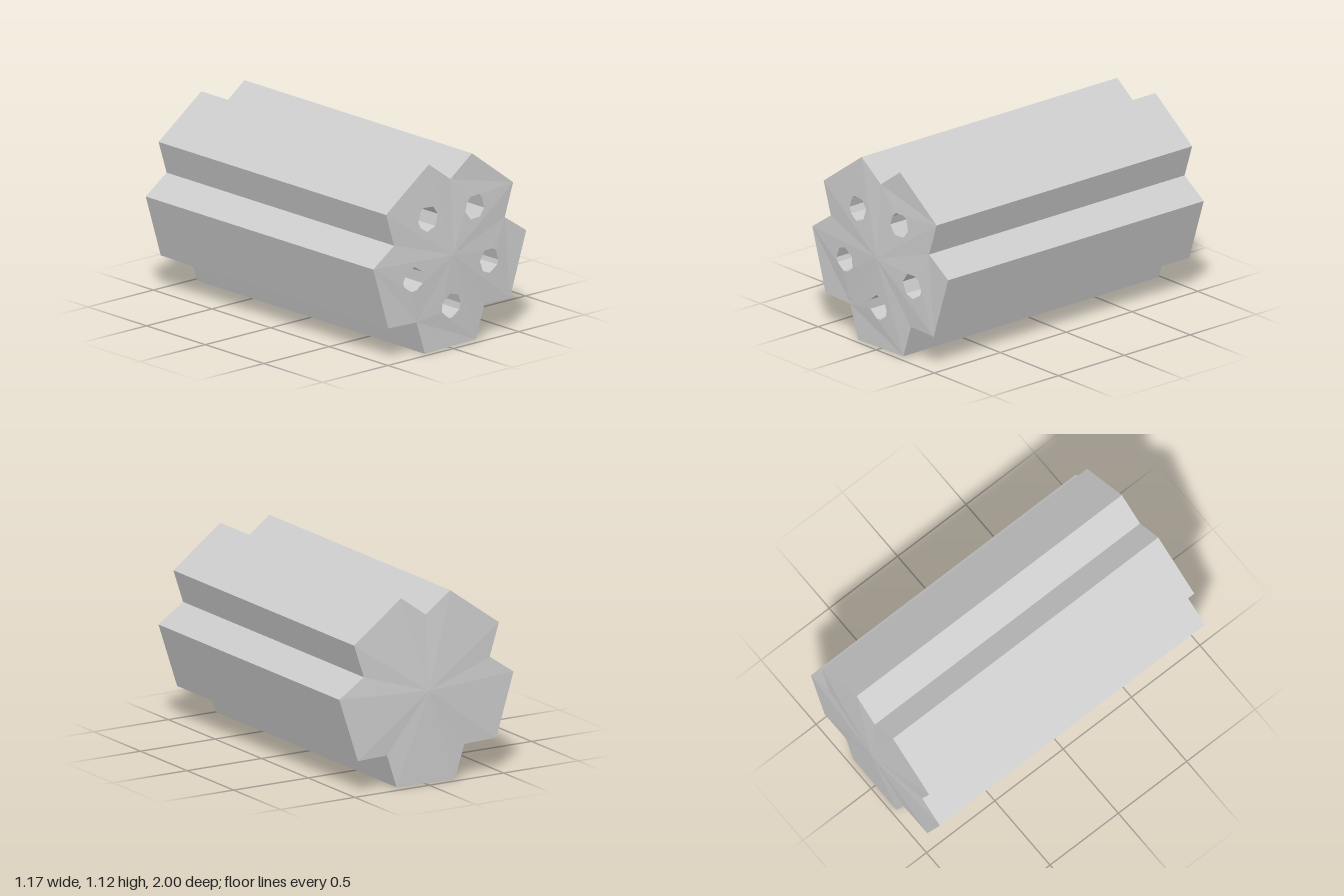
import * as THREE from 'three';

const V = (x, y) => new THREE.Vector2(x, y);
const CENTRE = V(0, 0.557);
const STEP = (Math.PI * 2) / 5;
const EDGE_Z = 0.97, TIP_Z = 1, HOLE_FLOOR_Z = -0.2;

// Fluted outline, counter-clockwise: notch, tip, tip for each of five lobes
const outline = [
  [0.005, 1.0], [-0.16, 1.12], [-0.487, 0.885],
  [-0.425, 0.69], [-0.585, 0.58], [-0.47, 0.207],
  [-0.255, 0.2], [-0.19, 0], [0.2, 0.01],
  [0.265, 0.207], [0.46, 0.2], [0.585, 0.58],
  [0.42, 0.69], [0.485, 0.885], [0.17, 1.12],
].map(([x, y]) => V(x, y));

// Slightly uneven bore outline, clockwise, placed in the bottom lobe
const bore = [
  [-0.013, 0.327], [0.052, 0.308], [0.07, 0.255], [0.063, 0.217],
  [0.012, 0.18], [-0.017, 0.179], [-0.071, 0.225], [-0.069, 0.282],
].map(([x, y]) => V(x, y));

const material = new THREE.MeshStandardMaterial({ color: 0xcccccc, flatShading: true });

function addMesh(group, name, geometry) {
  const mesh = new THREE.Mesh(geometry, material);
  mesh.name = name;
  group.add(mesh);
}

function fromTriangles(positions) {
  const g = new THREE.BufferGeometry();
  g.setAttribute('position', new THREE.Float32BufferAttribute(positions, 3));
  g.computeVertexNormals();
  return g;
}

// Band of quads along a closed loop; clockwise loops face inward
function wall(loop, z0, topZ) {
  const pos = [];
  loop.forEach((a, i) => {
    const b = loop[(i + 1) % loop.length];
    const za = topZ(a), zb = topZ(b);
    pos.push(a.x, a.y, z0, b.x, b.y, z0, b.x, b.y, zb);
    pos.push(a.x, a.y, z0, b.x, b.y, zb, a.x, a.y, za);
  });
  return fromTriangles(pos);
}

// Shallow pyramid closing the rear
function rearCap() {
  const pos = [];
  outline.forEach((a, i) => {
    const b = outline[(i + 1) % outline.length];
    pos.push(CENTRE.x, CENTRE.y, -TIP_Z, b.x, b.y, -EDGE_Z, a.x, a.y, -EDGE_Z);
  });
  return fromTriangles(pos);
}

export function createModel() {
  const group = new THREE.Group();
  group.name = 'flutedCylinder';
  addMesh(group, 'flutedWall', wall(outline, -EDGE_Z, () => EDGE_Z));
  addMesh(group, 'rearCap', rearCap());

  for (let k = 0; k < 5; k++) {
    const angle = Math.PI * 0.7 + k * STEP;
    const axis = V(Math.cos(angle), Math.sin(angle));
    const hole = bore.map((p) => p.clone().rotateAround(CENTRE, (k - 2) * STEP));

    // Height of the shallow front pyramid at a point of this lobe
    const capZ = (p) => {
      const d = V(p.x, p.y).sub(CENTRE);
      if (d.length() > 0.42) return EDGE_Z;
      return TIP_Z - (TIP_Z - EDGE_Z) * Math.max(0, d.dot(axis)) / 0.555;
    };

    // Front face of one lobe, pierced by its bore
    const shape = new THREE.Shape([
      CENTRE, ...[0, 1, 2, 3].map((j) => outline[(3 * k + j) % 15]),
    ]);
    shape.holes.push(new THREE.Path(hole));
    const face = new THREE.ShapeGeometry(shape);
    const pos = face.attributes.position;
    for (let i = 0; i < pos.count; i++) {
      pos.setZ(i, capZ(V(pos.getX(i), pos.getY(i))));
    }
    face.computeVertexNormals();
    addMesh(group, 'frontFace', face);

    // Blind bore: inward wall and floor
    addMesh(group, 'boreWall', wall(hole, HOLE_FLOOR_Z, capZ));
    const floor = new THREE.ShapeGeometry(new THREE.Shape(hole));
    addMesh(group, 'boreFloor', floor.translate(0, 0, HOLE_FLOOR_Z));
  }
  return group;
}
